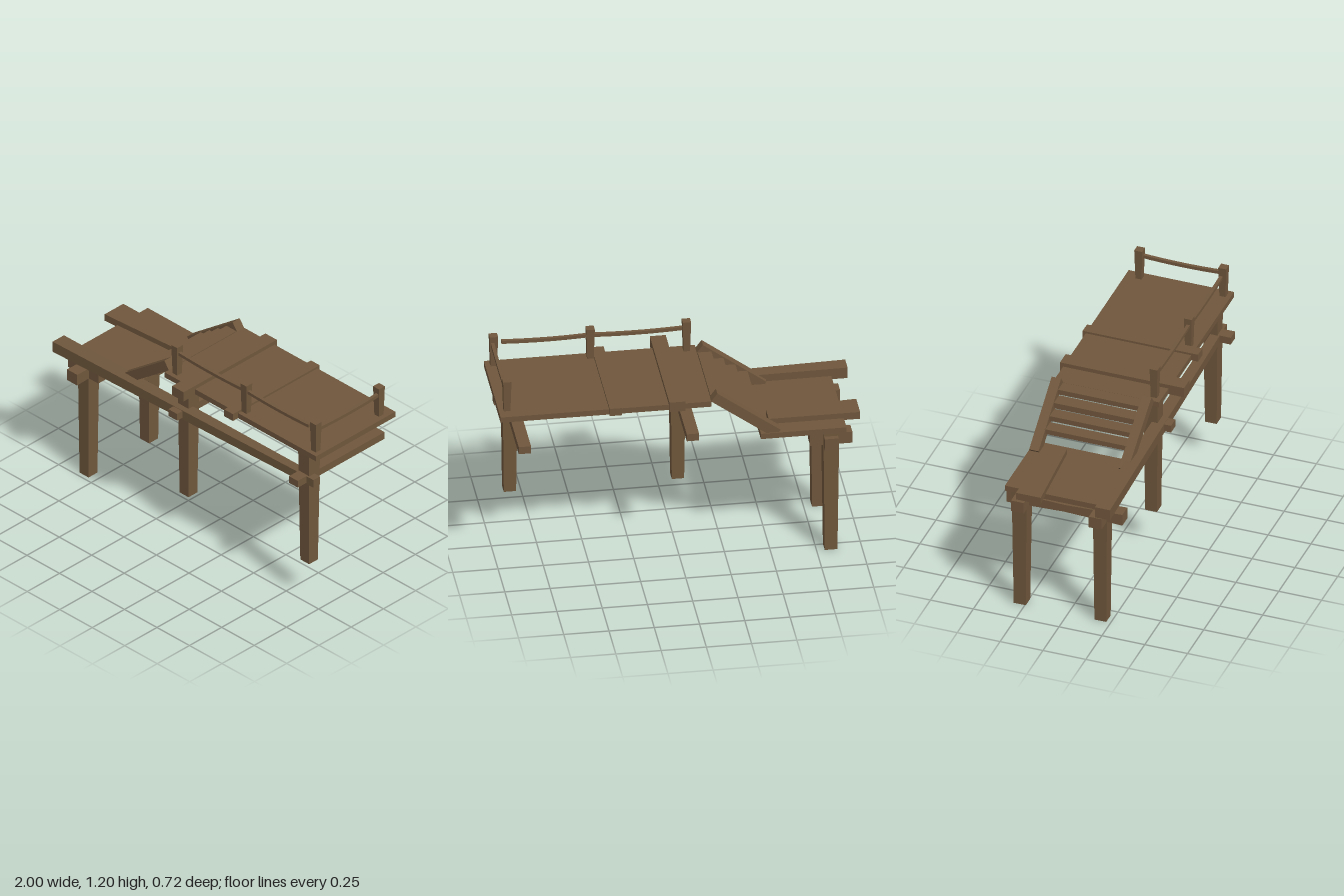
import * as THREE from 'three';

export function createModel() {
  const model = new THREE.Group();
  const wood = new THREE.MeshStandardMaterial({ color: 0x6f563c, side: THREE.DoubleSide });
  wood.name = 'weatheredWood';

  function add(name, geometry, x = 0, y = 0, z = 0) {
    const mesh = new THREE.Mesh(geometry, wood);
    mesh.name = name;
    mesh.position.set(x, y, z);
    model.add(mesh);
    return mesh;
  }

  // Leaves out the underside of a box, so it is hollow from below
  function openBelow(g) {
    const { start, count } = g.groups[3];
    const index = Array.from(g.index.array);
    index.splice(start, count);
    g.setIndex(index);
    g.clearGroups();
    return g;
  }

  // Box given by its limits on each axis
  function block(name, [x0, x1], [y0, y1], [z0, z1]) {
    return add(name, new THREE.BoxGeometry(x1 - x0, y1 - y0, z1 - z0),
      (x0 + x1) / 2, (y0 + y1) / 2, (z0 + z1) / 2);
  }

  // Moves the vertices of a box by a rule and keeps its faces flat
  function shaped(g, rule) {
    const p = g.attributes.position;
    const v = new THREE.Vector3();
    for (let i = 0; i < p.count; i++) {
      rule(v.fromBufferAttribute(p, i));
      p.setXYZ(i, v.x, v.y, v.z);
    }
    const flat = g.toNonIndexed();
    flat.computeVertexNormals();
    return flat;
  }

  // Square post, narrower at its foot and open underneath
  function post(name, x, z, y0, y1, top, foot) {
    const box = openBelow(new THREE.BoxGeometry(top, y1 - y0, top));
    add(name, shaped(box, (v) => {
      if (v.y < 0) { v.x *= foot / top; v.z *= foot / top; }
    }), x, (y0 + y1) / 2, z);
  }

  // Supporting legs
  post('lowerFrontLeg', -0.83, 0.19, 0, 0.757, 0.083, 0.069);
  post('lowerBackLeg', -0.83, -0.28, 0, 0.757, 0.088, 0.07);
  post('middleLeg', -0.056, 0.195, 0.24, 0.984, 0.085, 0.068);
  post('endLeg', 0.872, 0.195, 0.24, 0.984, 0.085, 0.068);

  // Decks, hollow underneath
  const upperDeck = block('upperDeck', [-0.165, 1], [0.982, 1.015], [-0.345, 0.27]);
  const lowerDeck = block('lowerDeck', [-0.91, -0.437], [0.755, 0.788], [-0.35, 0.267]);
  openBelow(upperDeck.geometry);
  openBelow(lowerDeck.geometry);

  // Raised cross planks through the upper deck
  block('wideCrossPlank', [-0.018, 0.07], [0.978, 1.038], [-0.363, 0.36]);
  block('narrowCrossPlank', [0.333, 0.4], [0.982, 1.027], [-0.363, 0.31]);

  // Cross beams through the upper legs
  for (const x of [-0.06, 0.868]) {
    block('upperCrossBeam', [x - 0.034, x + 0.034], [0.783, 0.827], [-0.36, 0.313]);
  }

  // Long front beam, slimmer and turned inward at its far end
  add('longFrontBeam', shaped(new THREE.BoxGeometry(1.955, 0.066, 0.088), (v) => {
    const far = v.x > 0;
    v.y *= far ? 0.76 : 1;
    v.z = v.z * (far ? 0.58 : 1) + (far ? 0.219 : 0.253);
  }), -0.0225, 0.8, 0);

  // Loose plank along the back of the lower deck
  add('loosePlank', shaped(new THREE.BoxGeometry(0.505, 0.043, 0.144), (v) => {
    if (v.x > 0 && v.z > 0) v.z -= 0.035;
  }), -0.7475, 0.7985, -0.179);

  // Waisted cross beam and short braces at the lower legs
  add('lowerCrossBeam', shaped(new THREE.BoxGeometry(0.078, 0.07, 0.675, 1, 1, 8), (v) => {
    v.y *= 0.64 + 0.36 * Math.min(1, Math.abs(v.z) / 0.3375);
  }), -0.828, 0.69, -0.018);
  for (const z of [0.191, -0.262]) {
    block('shortBrace', [-0.95, -0.717], [0.658, 0.727], [z - 0.037, z + 0.037]);
  }

  // Stair stringers
  for (const z of [0.208, -0.317]) {
    const s = add('stairStringer', new THREE.BoxGeometry(0.436, 0.058, 0.055), -0.355, 0.908, z);
    s.rotation.z = Math.atan2(0.26, 0.35);
    if (z > 0) s.rotation.y = -0.02;
  }

  // Stair treads
  for (let i = 0; i < 4; i++) {
    const x = -0.404 + i * 0.066, y = 0.865 + i * 0.0455;
    block('stairTread', [x - 0.038, x + 0.038], [y - 0.015, y + 0.015], [-0.3, 0.19]);
  }

  // Railing posts
  for (const [x, z] of [[-0.112, 0.226], [0.42, 0.226], [0.954, 0.226], [0.954, -0.264]]) {
    post('railPost', x, z, 1.0, 1.2, 0.046, 0.035);
  }

  // Slightly sagging rails between the posts
  const sag = (t) => -0.007 * (1 - t * t);
  for (const [x0, x1] of [[-0.1, 0.42], [0.42, 0.91]]) {
    const half = (x1 - x0) / 2;
    add('frontRail', shaped(new THREE.BoxGeometry(half * 2, 0.019, 0.019, 8), (v) => {
      v.y += sag(v.x / half);
    }), (x0 + x1) / 2, 1.155, 0.228);
  }
  add('sideRail', shaped(new THREE.BoxGeometry(0.019, 0.019, 0.47, 1, 1, 8), (v) => {
    v.y += sag(v.z / 0.235);
  }), 0.962, 1.156, -0.02);

  return model;
}
